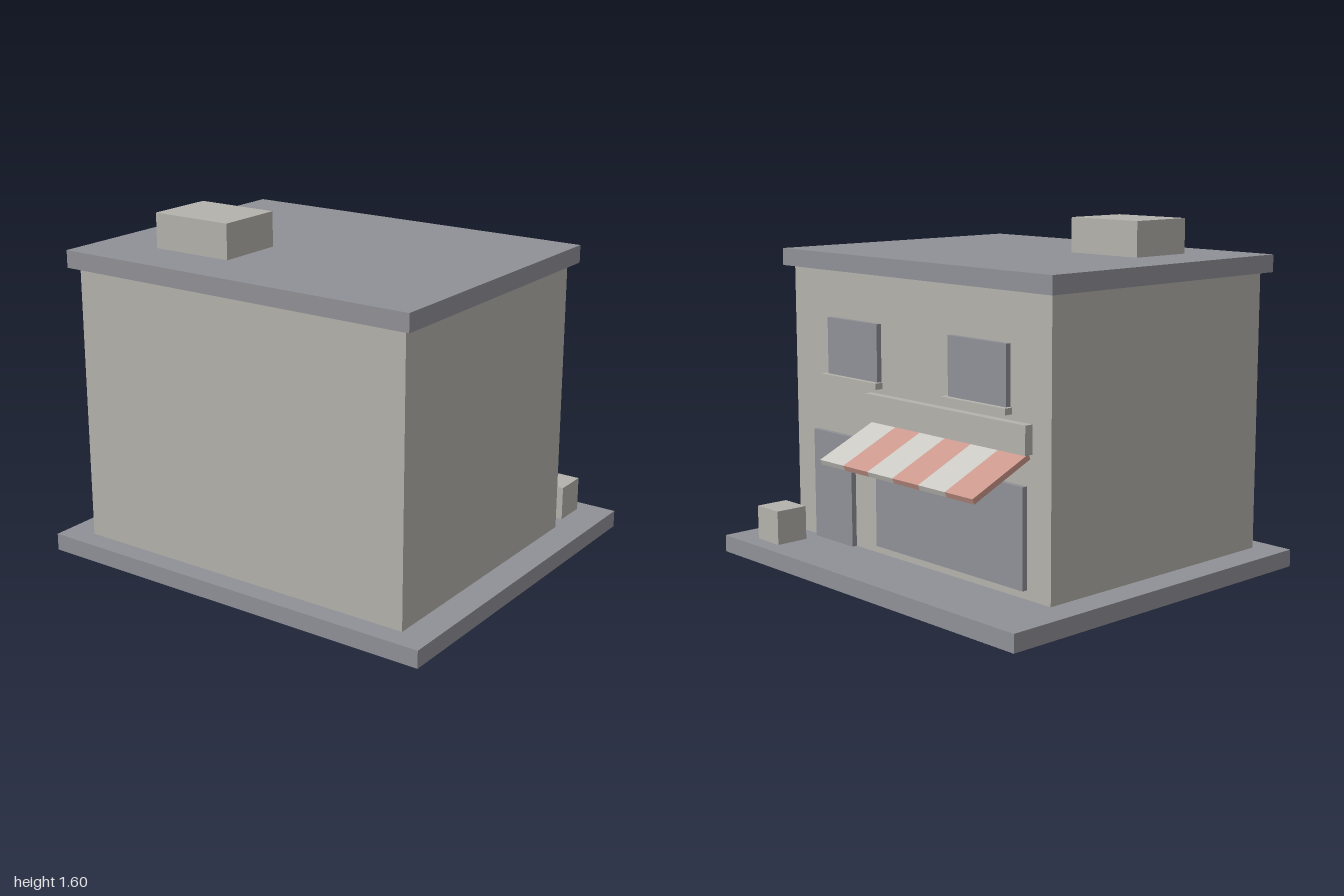
import * as THREE from 'three';

export function createModel() {
  const group = new THREE.Group();
  group.name = 'shop';

  const material = (name, color) => {
    const m = new THREE.MeshStandardMaterial({ color });
    m.name = name;
    return m;
  };
  const wall = material('warm grey', 0xb4b2ac);
  const slate = material('slate grey', 0x909197);
  const cream = material('awning cream', 0xcac9c2);
  const coral = material('awning coral', 0xcb988c);

  // Box given by its extents along each axis
  const box = (name, mat, [x0, x1], [y0, y1], [z0, z1], parent = group) => {
    const mesh = new THREE.Mesh(new THREE.BoxGeometry(x1 - x0, y1 - y0, z1 - z0), mat);
    mesh.position.set((x0 + x1) / 2, (y0 + y1) / 2, (z0 + z1) / 2);
    mesh.name = name;
    parent.add(mesh);
    return mesh;
  };

  // Main volumes
  box('pavement', slate, [-1, 1], [0, 0.08], [-0.88, 0.88]);
  box('walls', wall, [-0.86, 0.86], [0.08, 1.36], [-0.54, 0.78]);
  box('roof', slate, [-0.9, 0.9], [1.36, 1.44], [-0.58, 0.82]);
  box('roofUnit', wall, [-0.6, -0.2], [1.44, 1.6], [0.24, 0.56]);
  box('crate', wall, [0.68, 0.84], [0.08, 0.24], [-0.8, -0.64]);

  // Shopfront on the -z wall
  const pane = [-0.565, -0.54];
  const ledge = [-0.59, -0.55];
  box('door', slate, [0.42, 0.7], [0.08, 0.6], pane);
  box('shopWindow', slate, [-0.72, 0.24], [0.12, 0.56], pane);
  box('signBoard', wall, [-0.76, 0.28], [0.7, 0.825], ledge);

  // Upper windows with sills
  for (const x of [-0.44, 0.4]) {
    box('upperWindow', slate, [x - 0.18, x + 0.18], [0.86, 1.14], pane);
    box('windowSill', wall, [x - 0.2, x + 0.2], [0.85, 0.878], ledge);
  }

  // Sloping awning made of six striped slats
  const awning = new THREE.Group();
  awning.name = 'awning';
  awning.position.set(-0.24, 0.62, -0.7);
  awning.rotation.x = -0.42;
  group.add(awning);
  for (let i = 0; i < 6; i++) {
    const x = -0.5 + i / 6;
    box('awningStripe', i % 2 ? cream : coral, [x, x + 1 / 6], [-0.0125, 0.0125], [-0.168, 0.168], awning);
  }

  return group;
}
